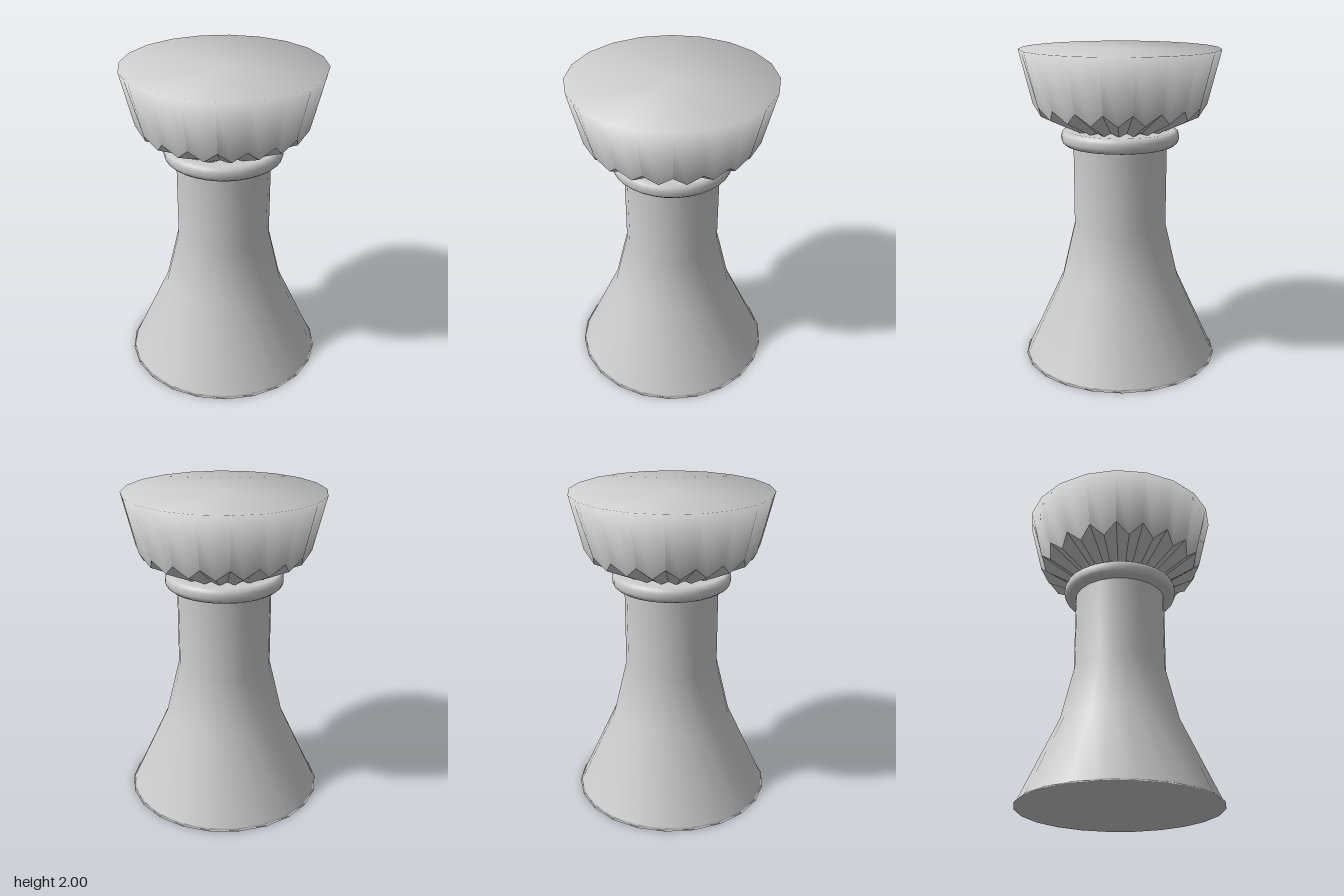
import * as THREE from 'three';

const material = new THREE.MeshStandardMaterial({ color: 0xcccccc });
const flatMaterial = new THREE.MeshStandardMaterial({ color: 0xcccccc, flatShading: true });
const RIBS = 20;
const STEP = (Math.PI * 2) / RIBS;

const toPoints = (profile) => profile.map(([r, y]) => new THREE.Vector2(r, y));

function turned(name, profile, sides) {
  const mesh = new THREE.Mesh(new THREE.LatheGeometry(toPoints(profile), sides), material);
  mesh.name = name;
  return mesh;
}

// Lathe whose columns alternate between a rib profile and a mid-facet profile
function fluted(rib, mid) {
  const geo = new THREE.LatheGeometry(toPoints(rib), RIBS * 2);
  const pos = geo.attributes.position;
  for (let i = 1; i < RIBS * 2; i += 2) {
    mid.forEach(([r, y], j) => {
      const a = (i * STEP) / 2;
      pos.setXYZ(i * mid.length + j, r * Math.sin(a), y, r * Math.cos(a));
    });
  }
  return geo;
}

// Faceted bowl wall and flat top: facets crease at the foot and blend into the rim
function bowlWall() {
  const inner = Math.cos(STEP / 2);
  const geo = fluted(
    [[0.54, 1.67], [0.62, 2], [0, 2]],
    [[0.5, 1.6], [0.62 * inner, 2], [0, 2]]
  ).toNonIndexed();
  const pos = geo.attributes.position;
  const normal = geo.attributes.normal;
  for (let t = 0; t < pos.count; t += 3) {
    let cx = 0, cz = 0;
    for (let v = t; v < t + 3; v++) {
      cx += pos.getX(v);
      cz += pos.getZ(v);
    }
    const a = (Math.floor(Math.atan2(cx, cz) / STEP) + 0.5) * STEP;
    for (let v = t; v < t + 3; v++) {
      if (pos.getY(v) < 1.8) normal.setXYZ(v, 0.97 * Math.sin(a), -0.24, 0.97 * Math.cos(a));
    }
  }
  const mesh = new THREE.Mesh(geo, material);
  mesh.name = 'bowlWall';
  return mesh;
}

// Zigzag-edged underside tapering to the collar
function bowlUnderside() {
  const geo = fluted(
    [[0, 1.5], [0.3, 1.525], [0.54, 1.67]],
    [[0, 1.5], [0.29, 1.503], [0.5, 1.6]]
  );
  const mesh = new THREE.Mesh(geo, flatMaterial);
  mesh.name = 'bowlUnderside';
  return mesh;
}

export function createModel() {
  const model = new THREE.Group();
  model.name = 'pedestal';
  model.add(
    // Flared foot running up into a straight column
    turned('stem', [[0, 0], [0.63, 0], [0.615, 0.015], [0.38, 0.53], [0.295, 0.89], [0.295, 1.43]], 22),
    // Rounded ring under the bowl
    turned('collar', [[0.28, 1.41], [0.345, 1.41], [0.363, 1.425], [0.37, 1.445], [0.37, 1.47],
      [0.363, 1.49], [0.345, 1.505], [0.1, 1.505]], 32),
    bowlUnderside(),
    bowlWall()
  );
  return model;
}
